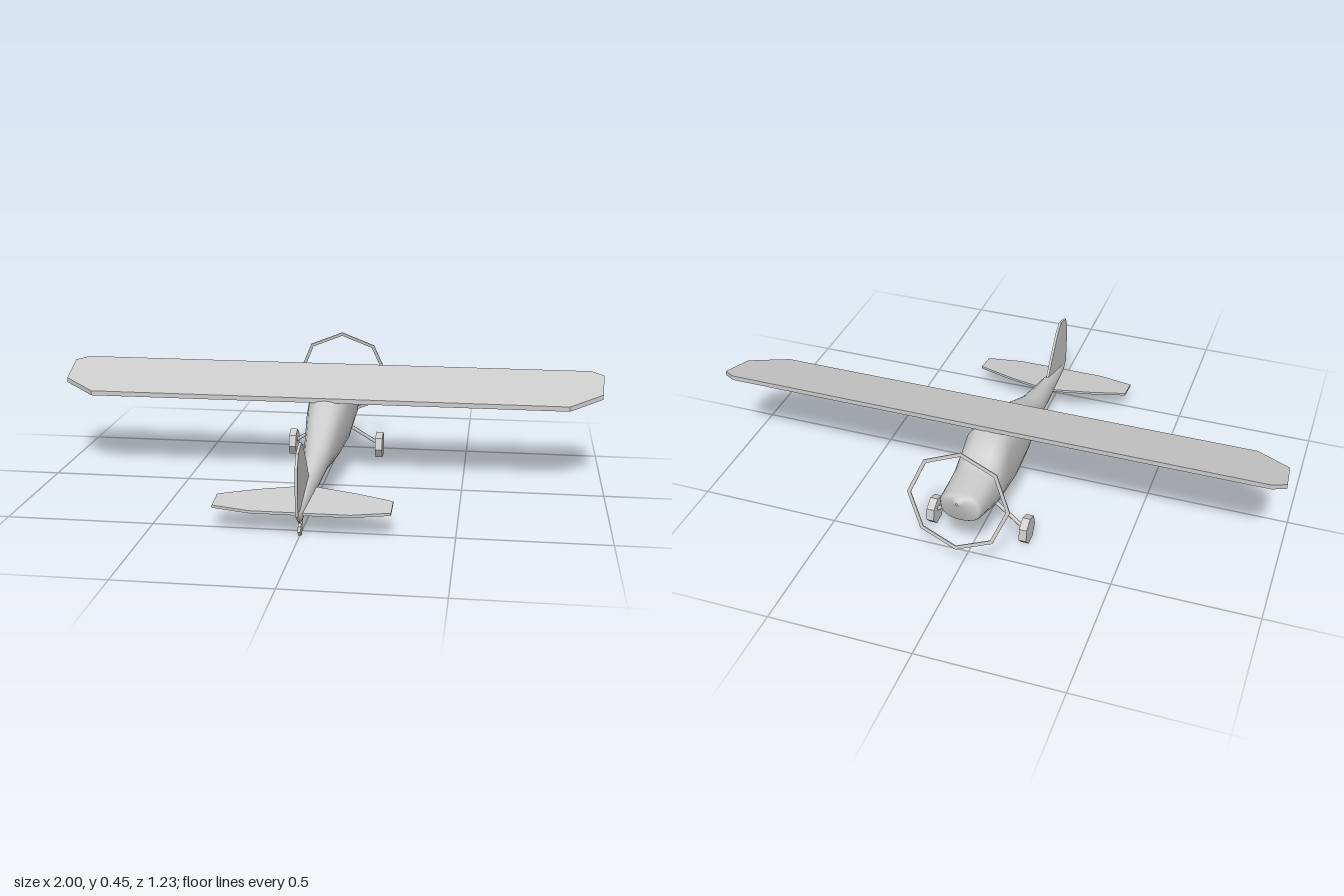
import * as THREE from 'three';

const material = new THREE.MeshStandardMaterial({ color: 0xcccccc, side: THREE.DoubleSide });

function part(name, geometry) {
  const mesh = new THREE.Mesh(geometry, material);
  mesh.name = name;
  return mesh;
}

// Extrude an outline, centred on its thickness
function slab(points, thickness) {
  const shape = new THREE.Shape(points.map(([x, y]) => new THREE.Vector2(x, y)));
  const g = new THREE.ExtrudeGeometry(shape, { depth: thickness, bevelEnabled: false });
  return g.translate(0, 0, -thickness / 2);
}

// Mirrored plan outline of [x, z] points, sloped so that y = y0 + slope * z
function surface(half, thickness, y0, slope) {
  const outline = [...half, ...half.map(([x, z]) => [-x, z]).reverse()];
  const g = slab(outline.map(([x, z]) => [x, -z]), thickness).rotateX(-Math.PI / 2);
  const p = g.attributes.position;
  for (let i = 0; i < p.count; i++) p.setY(i, p.getY(i) + y0 + slope * p.getZ(i));
  g.computeVertexNormals();
  return g;
}

// Smooth body through rounded sections [z, bottom, top, half width, squareness]
function loft(rows, sides) {
  const positions = [], index = [];
  const bend = (v, e) => Math.sign(v) * Math.abs(v) ** (2 / e);
  for (const [z, lo, hi, w, e] of rows) {
    for (let j = 0; j < sides; j++) {
      const t = (j / sides) * Math.PI * 2;
      positions.push(w * bend(Math.cos(t), e), (lo + hi) / 2 + ((hi - lo) / 2) * bend(Math.sin(t), e), z);
    }
  }
  for (let i = 0; i < rows.length - 1; i++) {
    for (let j = 0; j < sides; j++) {
      const a = i * sides + j, b = i * sides + ((j + 1) % sides);
      index.push(a, b, a + sides, b, b + sides, a + sides);
    }
  }
  const g = new THREE.BufferGeometry();
  g.setAttribute('position', new THREE.Float32BufferAttribute(positions, 3));
  g.setIndex(index);
  g.computeVertexNormals();
  return g;
}

// Thin rod between two points
function rod(from, to, radius) {
  const path = new THREE.LineCurve3(new THREE.Vector3(...from), new THREE.Vector3(...to));
  return new THREE.TubeGeometry(path, 1, radius, 6);
}

// Seven-sided wheel with its axle along x
function wheel(radius, width) {
  const g = new THREE.CylinderGeometry(radius, radius, width, 7).toNonIndexed();
  g.computeVertexNormals();
  return g.rotateZ(Math.PI / 2).rotateX(0.15);
}

export function createModel() {
  const plane = new THREE.Group();
  plane.name = 'airplane';

  plane.add(part('fuselage', loft([
    [-0.592, 0.278, 0.284, 0.003, 2],
    [-0.582, 0.255, 0.3, 0.025, 2],
    [-0.566, 0.195, 0.3, 0.066, 2.3],
    [-0.555, 0.187, 0.304, 0.073, 2.4],
    [-0.45, 0.147, 0.304, 0.08, 2.6],
    [-0.41, 0.133, 0.304, 0.082, 2.7],
    [-0.37, 0.12, 0.328, 0.083, 2.8],
    [-0.295, 0.105, 0.372, 0.083, 3],
    [-0.2, 0.09, 0.346, 0.081, 3],
    [-0.04, 0.083, 0.303, 0.069, 2.8],
    [0.06, 0.085, 0.256, 0.058, 2.5],
    [0.18, 0.095, 0.198, 0.045, 2.3],
    [0.36, 0.07, 0.158, 0.029, 2],
    [0.47, 0.056, 0.125, 0.02, 2],
    [0.55, 0.046, 0.1, 0.012, 2],
    [0.61, 0.08, 0.088, 0.002, 2],
  ], 20)));

  // Flying surfaces
  plane.add(part('wing', surface(
    [[0.87, -0.04], [0.99, -0.13], [1, -0.27], [0.955, -0.3]], 0.017, 0.292, -0.28)));
  plane.add(part('tailplane', surface(
    [[0.165, 0.555], [0.293, 0.528], [0.293, 0.445], [0.165, 0.4], [0.03, 0.365]], 0.009, 0.16, -0.15)));
  const fin = slab([
    [0.61, 0.085], [0.615, 0.175], [0.614, 0.25], [0.595, 0.29], [0.53, 0.309],
    [0.49, 0.285], [0.43, 0.22], [0.375, 0.15], [0.43, 0.09],
  ], 0.009).rotateY(-Math.PI / 2);
  plane.add(part('fin', fin));

  // Eight-sided propeller ring, leaning back at the top
  const circle = (r) => Array.from({ length: 8 }, (_, i) => {
    const a = (i / 8) * Math.PI * 2;
    return new THREE.Vector2(r * Math.cos(a), r * Math.sin(a));
  });
  const ringShape = new THREE.Shape(circle(0.177));
  ringShape.holes.push(new THREE.Path(circle(0.164)));
  const ring = part('propellerRing', new THREE.ExtrudeGeometry(ringShape, { depth: 0.004, bevelEnabled: false }));
  ring.position.set(0, 0.282, -0.582);
  ring.rotation.x = 0.2;
  plane.add(ring);

  // Main landing gear
  for (const [side, s] of [['left', 1], ['right', -1]]) {
    const w = part(side + 'Wheel', wheel(0.05, 0.027));
    w.position.set(s * 0.168, 0.05, -0.38);
    plane.add(w, part(side + 'Strut', rod([s * 0.04, 0.135, -0.362], [s * 0.168, 0.05, -0.385], 0.007)));
  }

  // Tail wheel
  const tailWheel = part('tailWheel', wheel(0.02, 0.01));
  tailWheel.position.set(0, 0.02, 0.54);
  plane.add(tailWheel, part('tailStrut', rod([0, 0.06, 0.515], [0, 0.02, 0.54], 0.007)));

  return plane;
}
